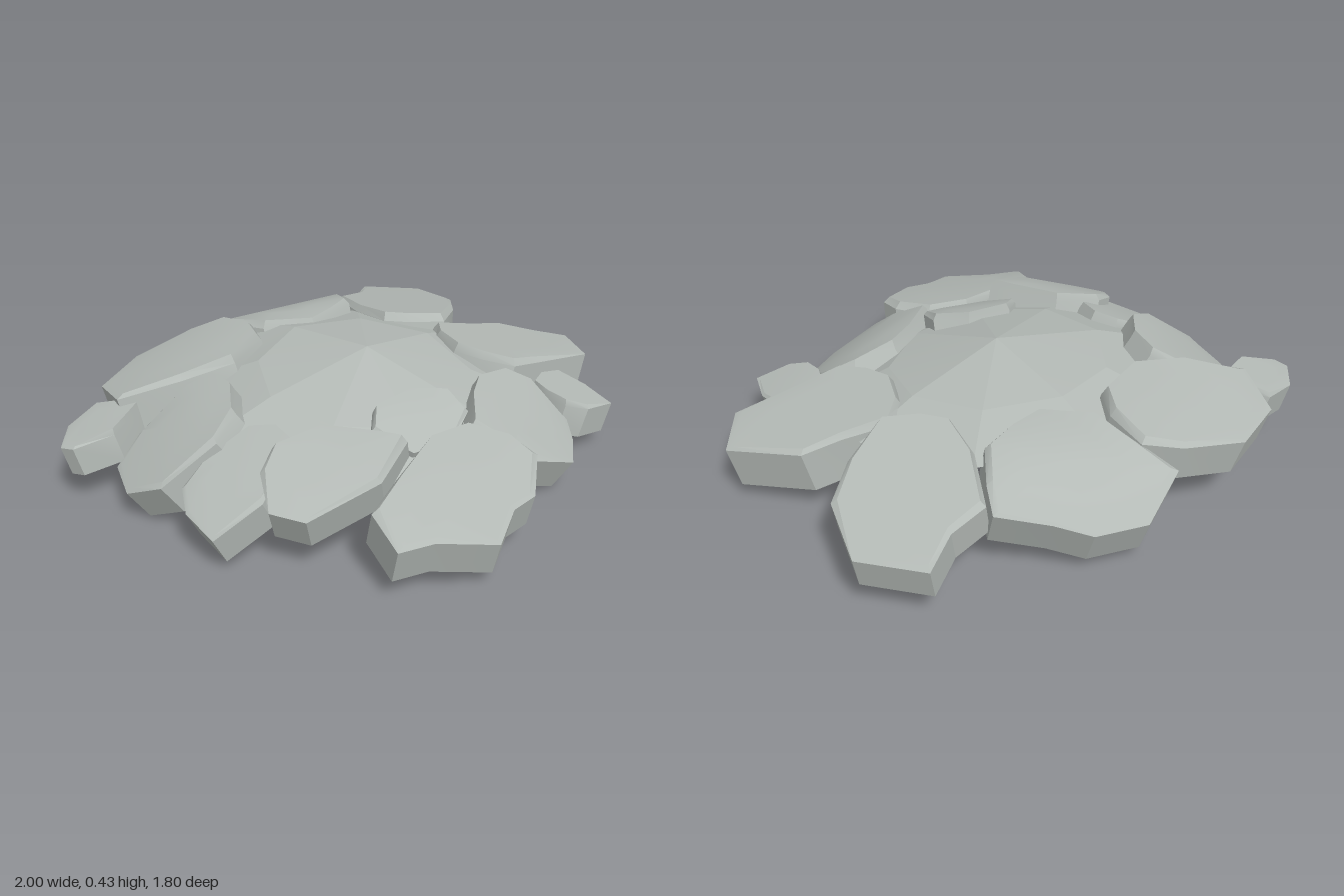
import * as THREE from 'three';
import { toCreasedNormals } from 'three/addons/utils/BufferGeometryUtils.js';

const color = 0xb4bab6;
const stoneMaterial = new THREE.MeshStandardMaterial({ color });
const domeMaterial = new THREE.MeshStandardMaterial({ color, side: THREE.DoubleSide });

// Builds a surface from closed loops of equal length; a one-point loop closes into a fan.
function skin(loops, crease) {
  const position = [], index = [], start = [];
  for (const loop of loops) {
    start.push(position.length / 3);
    for (const p of loop) position.push(p.x, p.y, p.z);
  }
  for (let k = 0; k < loops.length - 1; k++) {
    const na = loops[k].length, nb = loops[k + 1].length, n = Math.max(na, nb);
    for (let i = 0; i < n; i++) {
      const j = (i + 1) % n;
      const a = start[k] + (i % na), a2 = start[k] + (j % na);
      const b = start[k + 1] + (i % nb), b2 = start[k + 1] + (j % nb);
      if (nb > 1) index.push(a, b, b2);
      if (na > 1) index.push(a, b2, a2);
    }
  }
  const geometry = new THREE.BufferGeometry();
  geometry.setAttribute('position', new THREE.Float32BufferAttribute(position, 3));
  geometry.setIndex(index);
  return toCreasedNormals(geometry, crease);
}

// A slab with the given plan outline, sagging from its inner height to its outer height.
function stone(name, outline, inner, outer, thickness, sag = 1.25) {
  const pts = outline.map(([x, z]) => new THREE.Vector2(x, z));
  let area = 0;
  pts.forEach((p, i) => { area += p.cross(pts[(i + 1) % pts.length]); });
  if (area > 0) pts.reverse();
  const centre = new THREE.Vector2();
  pts.forEach((p) => centre.addScaledVector(p, 1 / pts.length));
  const out = centre.clone().normalize();
  const reach = pts.map((p) => p.dot(out));
  const near = Math.min(...reach), far = Math.max(...reach);
  const slope = (outer - inner) / (far - near);
  const normal = new THREE.Vector3(-slope * out.x, 1, -slope * out.y).normalize();

  const lift = (p, drop) => {
    const t = THREE.MathUtils.clamp((p.dot(out) - near) / (far - near), 0, 1);
    const y = inner + (outer - inner) * Math.pow(t, sag) - drop * (1 - t);
    return new THREE.Vector3(p.x, y, p.y);
  };
  const ring = (scale, drop) => pts.map((p) => lift(centre.clone().lerp(p, scale), drop));
  const rim = ring(1, 0.035);
  const under = rim.map((p) => p.clone().addScaledVector(normal, -thickness));
  const underCentre = new THREE.Vector3();
  under.forEach((p) => underCentre.addScaledVector(p, 1 / under.length));
  const loops = [[lift(centre, 0)], ring(0.55, 0), ring(0.92, 0), rim, under, [underCentre]];
  const mesh = new THREE.Mesh(skin(loops, 0.4), stoneMaterial);
  mesh.name = name;
  return mesh;
}

// Thin, shallow dome joining the stones, steepest towards the front and +x
function dome() {
  const sides = 9;
  const ring = (r, y) => Array.from({ length: sides }, (_, i) => {
    const a = (-i / sides) * Math.PI * 2 - 0.2;
    const x = r * Math.cos(a), z = r * Math.sin(a);
    return new THREE.Vector3(x, y - 0.1 * z - 0.03 * x - 0.25 * Math.max(0, x * z), z);
  });
  const apex = new THREE.Vector3(0.02, 0.44, -0.02);
  const mesh = new THREE.Mesh(skin([[apex], ring(0.4, 0.357), ring(0.63, 0.275)], 0.1), domeMaterial);
  mesh.name = 'dome';
  return mesh;
}

export function createModel() {
  const group = new THREE.Group();
  group.name = 'stoneMound';
  group.add(
    dome(),
    // Back row
    stone('backStone', [[-0.01, -0.9], [0.17, -0.86], [0.28, -0.79], [0.44, -0.7], [0.41, -0.61], [0.34, -0.48],
      [0.22, -0.43], [0.09, -0.4], [-0.07, -0.52], [-0.12, -0.7], [-0.18, -0.82]], 0.395, 0.2, 0.15, 2.6),
    stone('backRightStone', [[0.7, -0.78], [0.87, -0.61], [0.83, -0.37], [0.71, -0.24], [0.54, -0.13], [0.42, -0.2],
      [0.35, -0.28], [0.36, -0.45], [0.44, -0.66], [0.58, -0.69]], 0.385, 0.235, 0.12, 1),
    stone('backLeftStone', [[-0.48, -0.8], [-0.24, -0.77], [-0.11, -0.71], [-0.1, -0.55], [-0.15, -0.43], [-0.34, -0.34],
      [-0.55, -0.38], [-0.75, -0.49], [-0.7, -0.69]], 0.41, 0.27, 0.14, 1.5),
    stone('backCornerStone', [[-1, -0.46], [-0.91, -0.57], [-0.77, -0.61], [-0.7, -0.52], [-0.67, -0.46], [-0.76, -0.41],
      [-0.84, -0.37], [-0.98, -0.41]], 0.3, 0.23, 0.11),
    // Left-hand side
    stone('leftBackStone', [[-0.91, -0.2], [-0.85, -0.36], [-0.73, -0.39], [-0.53, -0.37], [-0.45, -0.31], [-0.46, -0.18],
      [-0.55, -0.05], [-0.67, 0], [-0.86, -0.06]], 0.41, 0.13, 0.13, 1.3),
    stone('leftFrontStone', [[-0.87, 0.24], [-0.86, 0.08], [-0.81, -0.01], [-0.7, -0.03], [-0.53, 0], [-0.47, 0.08],
      [-0.48, 0.18], [-0.7, 0.28]], 0.36, 0.15, 0.12),
    // Front row
    stone('frontLeftStone', [[-0.73, 0.35], [-0.66, 0.22], [-0.57, 0.17], [-0.4, 0.22], [-0.28, 0.39], [-0.24, 0.46],
      [-0.42, 0.53], [-0.67, 0.46]], 0.39, 0.24, 0.13, 1.4),
    stone('frontStone', [[-0.55, 0.74], [-0.51, 0.58], [-0.35, 0.52], [-0.12, 0.44], [0.04, 0.47], [0.12, 0.6], [0.12, 0.71],
      [-0.03, 0.83], [-0.13, 0.83], [-0.27, 0.9], [-0.43, 0.78]], 0.34, 0.2, 0.135, 1.2),
    stone('innerStone', [[-0.27, 0.32], [-0.2, 0.25], [-0.02, 0.25], [0.09, 0.33], [0.08, 0.43], [-0.05, 0.49],
      [-0.21, 0.46]], 0.4, 0.3, 0.12, 1.4),
    stone('frontRightStone', [[0.03, 0.49], [0.16, 0.36], [0.28, 0.28], [0.45, 0.27], [0.54, 0.33], [0.55, 0.5], [0.48, 0.59],
      [0.37, 0.68], [0.18, 0.67], [0.11, 0.62]], 0.355, 0.12, 0.13, 1.4),
    stone('smallRightStone', [[0.53, 0.41], [0.55, 0.33], [0.64, 0.29], [0.74, 0.3], [0.76, 0.43], [0.73, 0.57],
      [0.6, 0.56], [0.54, 0.5]], 0.25, 0.18, 0.12),
    stone('rightStone', [[0.39, 0.07], [0.43, -0.07], [0.5, -0.15], [0.67, -0.1], [0.81, -0.08], [1, 0.13], [0.9, 0.31],
      [0.62, 0.29], [0.5, 0.28], [0.43, 0.18]], 0.365, 0.22, 0.16, 1),
  );
  return group;
}
